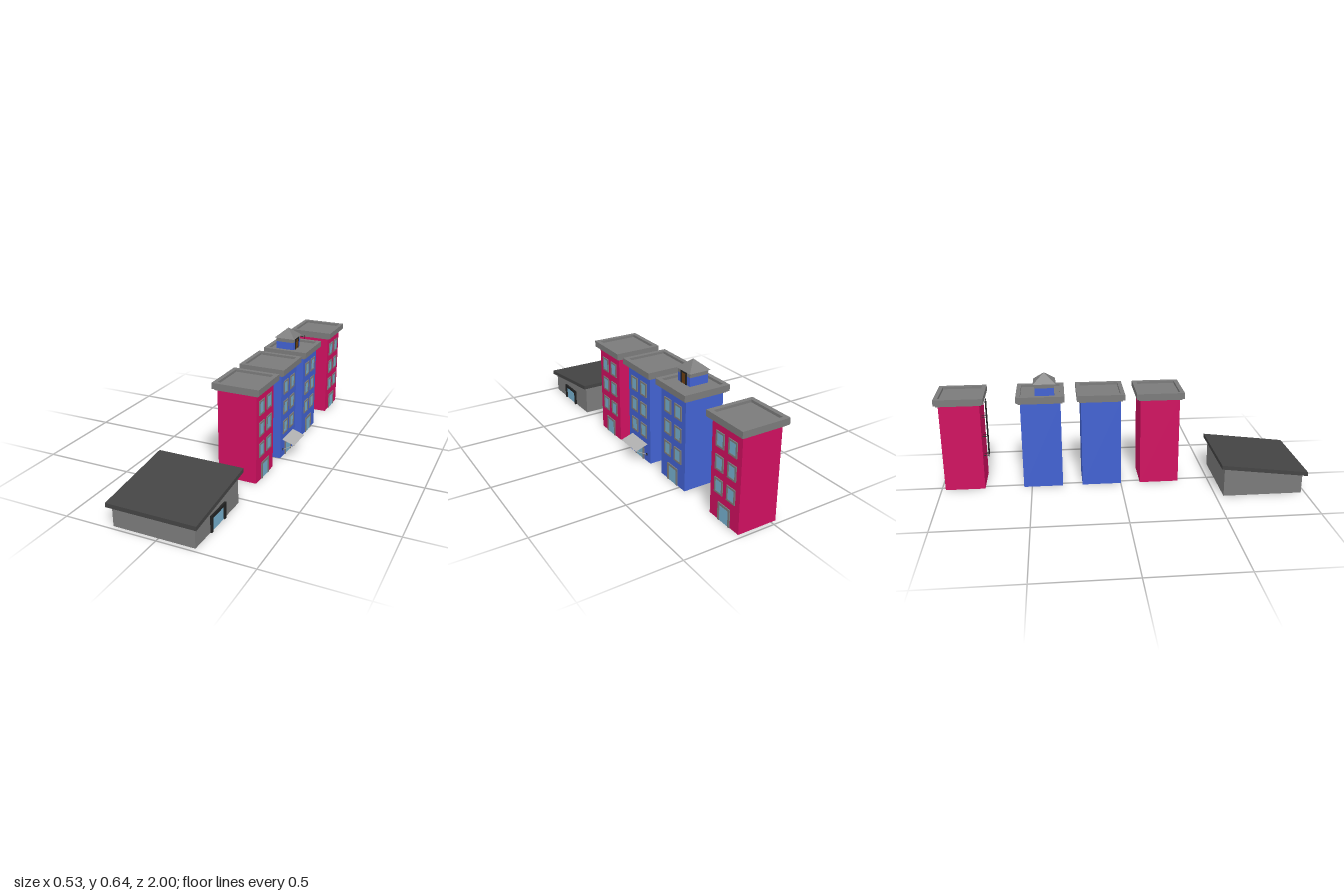
import * as THREE from 'three';

const mat = (color) => new THREE.MeshStandardMaterial({ color, flatShading: true });
const RED = mat(0xd01060), BLUE = mat(0x4262d2), GREY = mat(0x7b7b7b), DARK = mat(0x444444);
const BLACK = mat(0x222222), GLASS = mat(0x76b0cf), BROWN = mat(0x70400f), LIGHT = mat(0xb0b0b0);
LIGHT.side = THREE.DoubleSide;

const CX = 0.082, FACE = 0.191, HALF = 0.109;

function add(parent, name, geometry, material, x = 0, y = 0, z = 0) {
  const mesh = new THREE.Mesh(geometry, material);
  mesh.name = name;
  mesh.position.set(x, y, z);
  parent.add(mesh);
  return mesh;
}

function box(parent, name, material, w, h, d, x, y, z) {
  return add(parent, name, new THREE.BoxGeometry(w, h, d), material, x, y, z);
}

const polygon = (pts) => new THREE.Shape(pts.map(([x, y]) => new THREE.Vector2(x, y)));
const rect = (w, h) => [[-w / 2, -h / 2], [w / 2, -h / 2], [w / 2, h / 2], [-w / 2, h / 2]];

function extrude(shape, depth) {
  return new THREE.ExtrudeGeometry(shape, { depth, bevelEnabled: false });
}

// Rectangular ring with an opening
function ring(w, h, innerW, innerH, depth) {
  const shape = polygon(rect(w, h));
  shape.holes.push(polygon(rect(innerW, innerH)));
  return extrude(shape, depth);
}

// Straight round bar between two points
function bar(parent, name, a, b, radius, material) {
  const p = new THREE.Vector3(...a), q = new THREE.Vector3(...b);
  const mesh = add(parent, name, new THREE.CylinderGeometry(radius, radius, p.distanceTo(q), 6), material);
  mesh.position.copy(p).add(q).multiplyScalar(0.5);
  mesh.quaternion.setFromUnitVectors(new THREE.Vector3(0, 1, 0), q.sub(p).normalize());
}

// Door on a +x wall: frame open at the bottom, panel set inside
function door(parent, x, y, z, w, h, border, depth, frameMat, panelMat) {
  const a = w / 2, b = a - border, t = h - border;
  const frame = polygon([[-a, 0], [-b, 0], [-b, t], [b, t], [b, 0], [a, 0], [a, h], [-a, h]]);
  add(parent, 'doorFrame', extrude(frame, depth).rotateY(Math.PI / 2), frameMat, x, y, z);
  box(parent, 'doorPanel', panelMat, 0.004, t, 2 * b, x, y + t / 2, z);
}

function windowUnit(parent, y, z) {
  add(parent, 'windowFrame', ring(0.062, 0.078, 0.044, 0.06, 0.005).rotateY(Math.PI / 2), GREY, FACE, y, z);
  box(parent, 'windowGlass', GLASS, 0.004, 0.06, 0.044, FACE, y, z);
}

// Three-storey block with windows on +x and a recessed flat roof
function building(name, material, z) {
  const g = new THREE.Group();
  g.name = name;
  g.position.z = z;
  box(g, 'walls', material, 2 * HALF, 0.491, 2 * HALF, CX, 0.2455, 0);
  box(g, 'cornice', GREY, 0.239, 0.01, 0.239, CX, 0.496, 0);
  add(g, 'parapet', ring(0.262, 0.262, 0.215, 0.215, 0.033).rotateX(-Math.PI / 2), GREY, CX, 0.5, 0);
  box(g, 'roofDeck', GREY, 0.217, 0.019, 0.217, CX, 0.51, 0);
  for (const y of [0.175, 0.294, 0.412]) for (const s of [-1, 1]) windowUnit(g, y, s * 0.046);
  door(g, FACE, 0, 0, 0.09, 0.095, 0.012, 0.005, GREY, GLASS);
  return g;
}

// Sloping canopy above a door, held by two struts
function canopy(parent) {
  const rise = 0.024, run = 0.071;
  const sheet = add(parent, 'canopy', new THREE.PlaneGeometry(Math.hypot(rise, run), 0.16).rotateX(-Math.PI / 2),
    LIGHT, FACE + run / 2, 0.092, 0);
  sheet.rotation.z = -Math.atan2(rise, run);
  for (const s of [-1, 1]) {
    bar(parent, 'canopyStrut', [FACE, 0.04, s * 0.074], [FACE + run, 0.08, s * 0.074], 0.0022, LIGHT);
    box(parent, 'strutMount', BLACK, 0.004, 0.012, 0.008, FACE + 0.002, 0.042, s * 0.074);
  }
}

// Small roof house with a pyramid top
function roofHouse(parent) {
  const g = new THREE.Group();
  g.name = 'roofHouse';
  g.position.set(0.061, 0, 0.024);
  box(g, 'roofHouseWalls', BLUE, 0.106, 0.05, 0.106, 0, 0.54, 0);
  box(g, 'roofHouseBand', GREY, 0.106, 0.023, 0.106, 0, 0.5765, 0);
  const roof = new THREE.ConeGeometry(0.061 * Math.SQRT2, 0.052, 4).rotateY(Math.PI / 4);
  add(g, 'pyramidRoof', roof, GREY, 0, 0.614, 0);
  door(g, 0.053, 0.518, 0, 0.05, 0.067, 0.009, 0.004, BLACK, BROWN);
  parent.add(g);
}

// Ladder standing off the +z wall
function ladder(parent) {
  const z = HALF + 0.029, x0 = 0.01, x1 = 0.044;
  for (const x of [x0, x1]) {
    bar(parent, 'ladderRail', [x, 0.18, z], [x, 0.505, z], 0.0025, BLACK);
    for (const y of [0.185, 0.298, 0.41]) bar(parent, 'ladderBracket', [x, y, HALF], [x, y, z], 0.002, BLACK);
  }
  for (let i = 0; i < 13; i++) {
    const y = 0.195 + i * 0.025;
    bar(parent, 'ladderRung', [x0, y, z], [x1, y, z], 0.002, BLACK);
  }
}

// Low house with a single-pitch roof; profiles run along z, extruded along x
function lowHouse() {
  const g = new THREE.Group();
  g.name = 'lowHouse';
  const profile = (pts, depth) => extrude(polygon(pts.map(([z, y]) => [-z, y])), depth).rotateY(Math.PI / 2);
  add(g, 'houseWalls', profile([[0.978, 0], [0.543, 0], [0.543, 0.168], [0.978, 0.114]], 0.437), GREY, -0.245, 0, 0);
  add(g, 'pitchedRoof', profile([[1, 0.108], [0.523, 0.167], [0.523, 0.189], [1, 0.13]], 0.478), DARK, -0.266, 0, 0);
  door(g, 0.192, 0, 0.764, 0.146, 0.088, 0.015, 0.009, BLACK, GLASS);
  return g;
}

export function createModel() {
  const model = new THREE.Group();
  model.name = 'street';
  const redNear = building('redBuildingFront', RED, 0.218);
  const blueNear = building('blueBuildingWithCanopy', BLUE, -0.108);
  const blueFar = building('blueBuildingWithRoofHouse', BLUE, -0.436);
  const redFar = building('redBuildingWithLadder', RED, -0.869);
  canopy(blueNear);
  roofHouse(blueFar);
  ladder(redFar);
  model.add(lowHouse(), redNear, blueNear, blueFar, redFar);
  return model;
}
